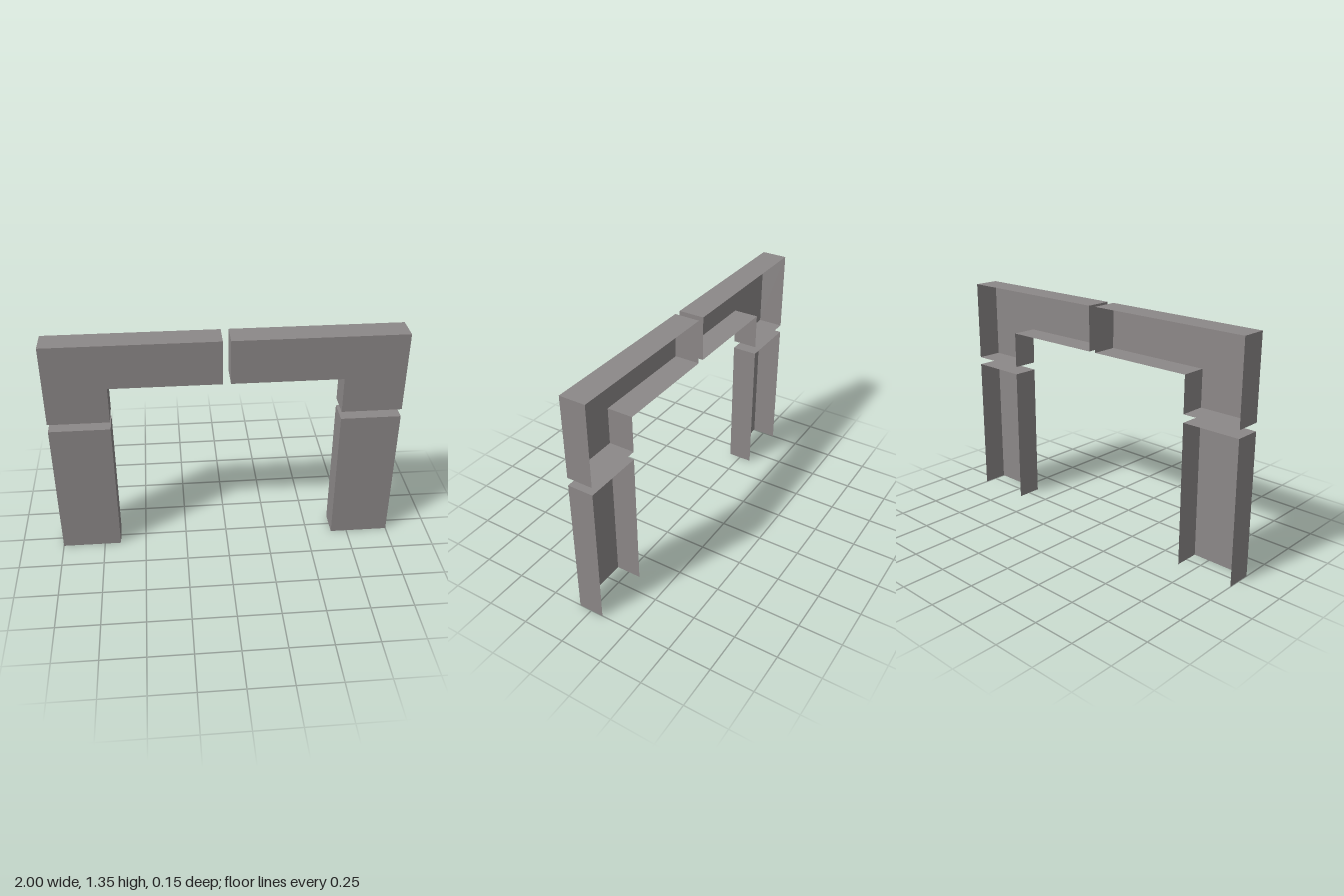
import * as THREE from 'three';
import { mergeGeometries } from 'three/addons/utils/BufferGeometryUtils.js';

const HALF_DEPTH = 0.075;

// Thin shell open at the back: a front panel plus side walls along the outline.
// Points run anticlockwise; openEnd leaves out the wall from last point to first.
function shellGeometry(points, openEnd) {
  const shape = new THREE.Shape(points.map(([x, y]) => new THREE.Vector2(x, y)));
  const front = new THREE.ShapeGeometry(shape).toNonIndexed();
  front.translate(0, 0, HALF_DEPTH);
  front.deleteAttribute('uv');

  const corners = [];
  const wallCount = points.length - (openEnd ? 1 : 0);
  for (let i = 0; i < wallCount; i++) {
    const a = points[i];
    const b = points[(i + 1) % points.length];
    const aBack = [...a, -HALF_DEPTH], aFront = [...a, HALF_DEPTH];
    const bBack = [...b, -HALF_DEPTH], bFront = [...b, HALF_DEPTH];
    corners.push(...aBack, ...bBack, ...bFront, ...aBack, ...bFront, ...aFront);
  }
  const walls = new THREE.BufferGeometry();
  walls.setAttribute('position', new THREE.Float32BufferAttribute(corners, 3));
  walls.computeVertexNormals();
  return mergeGeometries([front, walls]);
}

// Mirror an outline across x = 0, keeping it anticlockwise
const mirrored = (points) => points.map(([x, y]) => [-x, y]).reverse();

export function createModel() {
  const group = new THREE.Group();
  group.name = 'archSurround';
  const grey = new THREE.MeshStandardMaterial({ color: 0x8c8888, side: THREE.DoubleSide });
  grey.name = 'warm grey';

  const inner = 0.653;
  const leg = [[1, 0], [1, 0.83], [inner, 0.83], [inner, 0]];
  const corner = [[1, 0.877], [1, 1.35], [0.022, 1.35], [0.022, 1.09], [inner, 1.09], [inner, 0.877]];

  const add = (name, points, openEnd) => {
    const mesh = new THREE.Mesh(shellGeometry(points, openEnd), grey);
    mesh.name = name;
    group.add(mesh);
  };

  // Legs are open at the floor; the L-shaped corners are walled all round
  add('leftLeg', leg, true);
  add('rightLeg', mirrored(leg), true);
  add('leftCorner', corner, false);
  add('rightCorner', mirrored(corner), false);
  return group;
}
